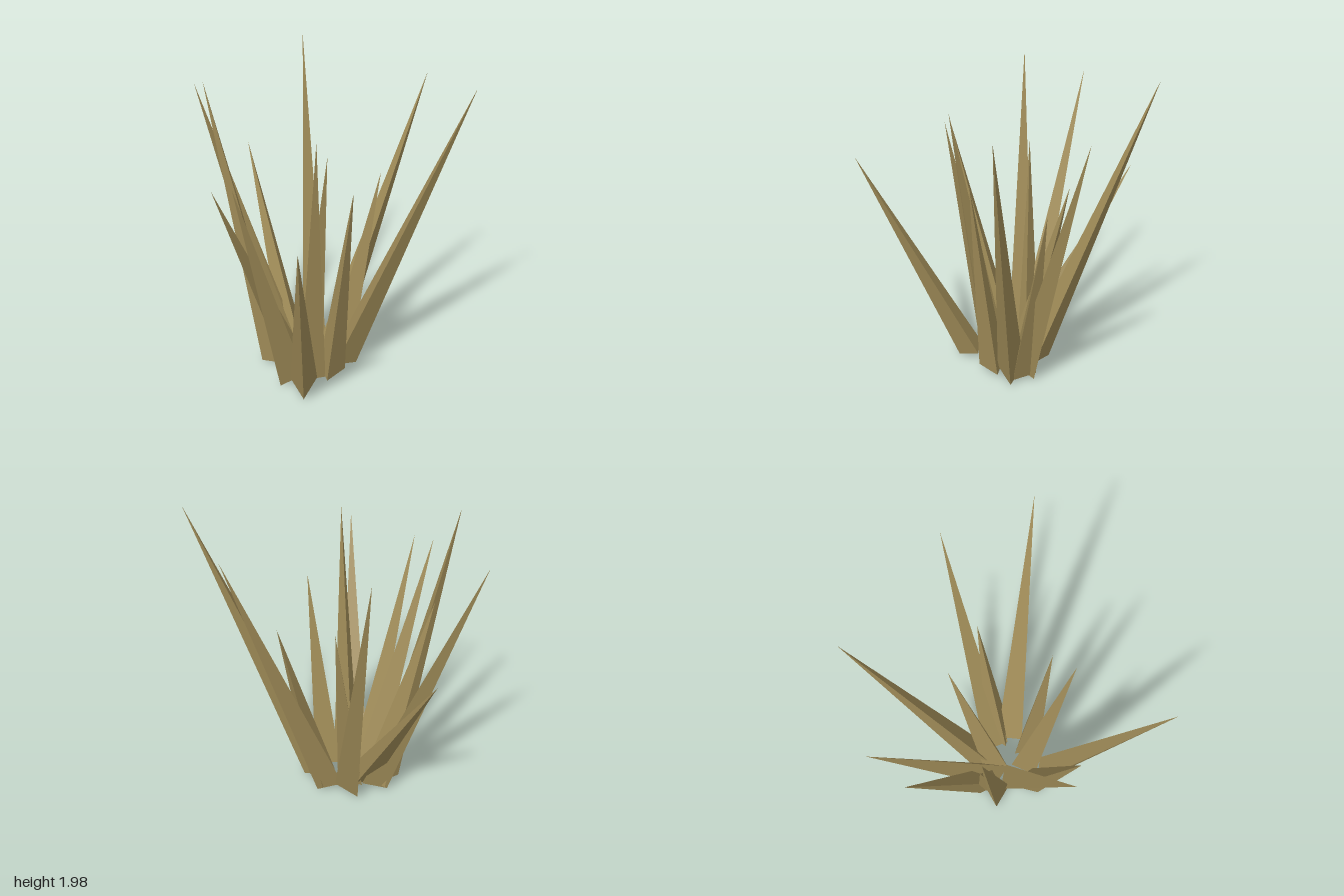
import * as THREE from 'three';

// Each blade: base centre x, y, z, then tip x, y, z, then spin about its own axis
const BLADES = [
  [-0.25, 0.05, -0.13, -0.43, 1.29, -0.87, Math.PI],
  [-0.14, 0.05, -0.21, -0.04, 1.99, -0.90, 0.4],
  [-0.31, 0.04, -0.19, -0.77, 1.83, -0.61, 0],
  [-0.02, 0.04, -0.13, 0.63, 1.89, -0.34, 0],
  [0.03, 0.05, -0.01, 0.76, 1.98, 0.19, 0.1],
  [0.02, 0.04, -0.08, 0.31, 1.32, -0.18, Math.PI],
  [-0.39, 0.03, -0.14, -0.74, 1.99, -0.21, 0.1],
  [-0.33, 0.04, -0.17, -0.62, 1.41, -0.23, Math.PI],
  [-0.18, 0.04, -0.12, 0.01, 1.36, -0.37, Math.PI],
  [-0.30, 0.04, -0.04, -0.77, 1.54, 0.28, 2.8],
  [-0.20, 0.03, 0.08, -0.19, 1.80, 0.33, Math.PI],
  [-0.07, 0.04, 0.09, 0.04, 1.42, 0.24, Math.PI],
  [-0.27, 0.05, 0.21, -0.40, 1.46, 0.90, 0],
  [-0.34, 0.04, 0.08, -0.66, 1.56, 0.32, 0.1],
];

export function createModel() {
  const group = new THREE.Group();
  group.name = 'grassTuft';
  const dryGrass = new THREE.MeshStandardMaterial({ color: 0xa08c58, flatShading: true });
  dryGrass.name = 'dryGrass';
  const up = new THREE.Vector3(0, 1, 0);

  BLADES.forEach(([bx, by, bz, tx, ty, tz, spin], i) => {
    const base = new THREE.Vector3(bx, by, bz);
    const axis = new THREE.Vector3(tx, ty, tz).sub(base);
    const length = axis.length();
    // Three-sided spike standing on its base, one corner turned towards the lean
    const geometry = new THREE.ConeGeometry(0.1, length, 3);
    geometry.translate(0, length / 2, 0);
    geometry.rotateY(Math.atan2(axis.x, axis.z) + spin);
    const blade = new THREE.Mesh(geometry, dryGrass);
    blade.name = `blade${i + 1}`;
    blade.quaternion.setFromUnitVectors(up, axis.normalize());
    blade.position.copy(base);
    group.add(blade);
  });
  return group;
}
